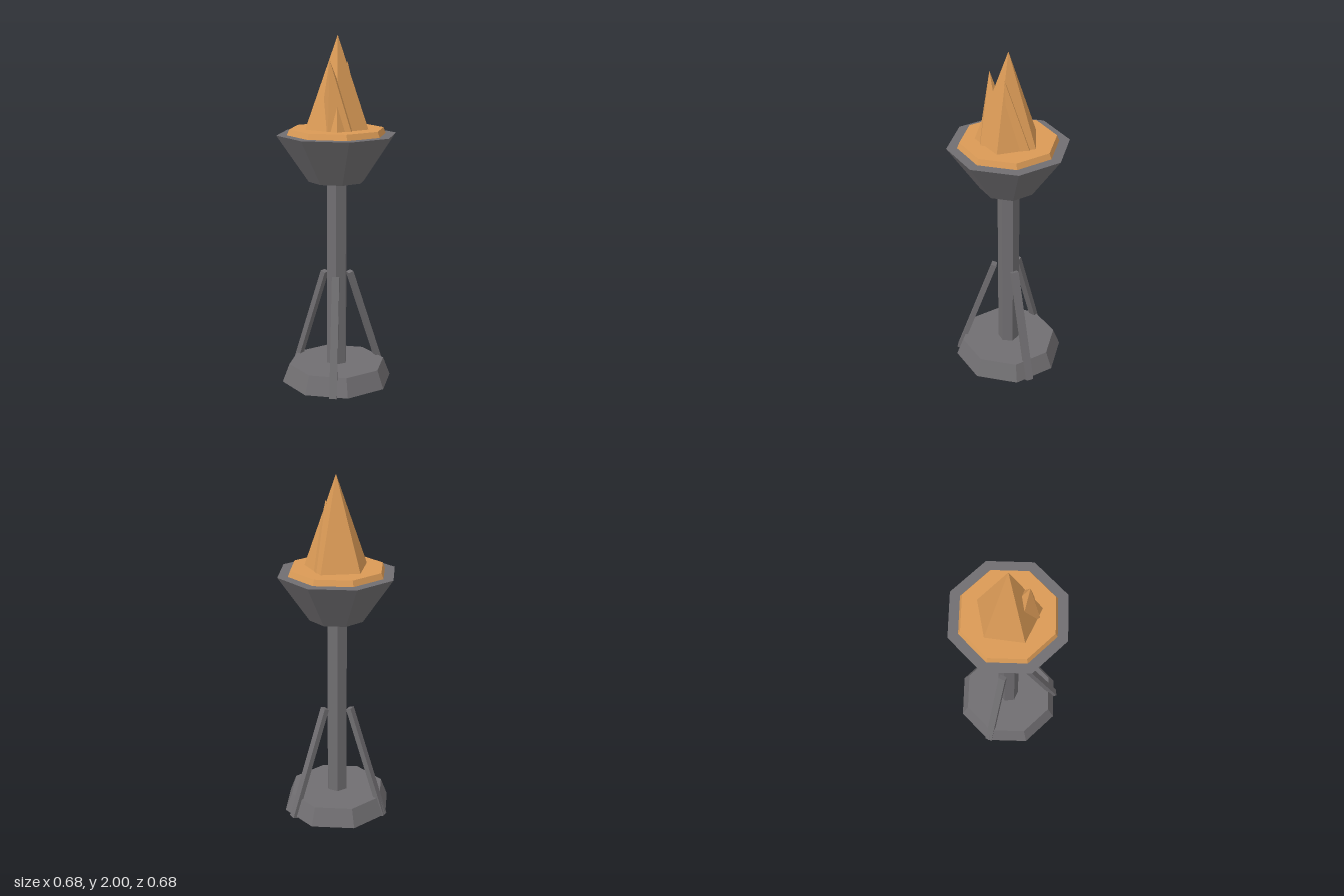
import * as THREE from 'three';

const iron = new THREE.MeshStandardMaterial({ color: 0x706e71, flatShading: true });
iron.name = 'dark iron';
const fire = new THREE.MeshStandardMaterial({ color: 0xda9a56, flatShading: true });
fire.name = 'fire orange';

function add(parent, name, geometry, material, y = 0) {
  const mesh = new THREE.Mesh(geometry, material);
  mesh.name = name;
  mesh.position.y = y;
  parent.add(mesh);
  return mesh;
}

// Faceted drum standing between two heights
function drum(parent, name, rTop, rBottom, y0, y1, sides, material) {
  return add(parent, name, new THREE.CylinderGeometry(rTop, rBottom, y1 - y0, sides), material, (y0 + y1) / 2);
}

// Five-sided spike with a leaning tip; angle is that of its first corner from +x towards +z
function spike([cx, cz], radius, angle, tip, y0) {
  const corners = [];
  for (let i = 0; i < 5; i++) {
    const a = angle + (i * Math.PI * 2) / 5;
    corners.push([cx + radius * Math.cos(a), y0, cz + radius * Math.sin(a)]);
  }
  const points = [];
  corners.forEach((p, i) => {
    const q = corners[(i + 1) % 5];
    points.push(...p, ...tip, ...q, ...p, ...q, cx, y0, cz);
  });
  const geometry = new THREE.BufferGeometry();
  geometry.setAttribute('position', new THREE.Float32BufferAttribute(points, 3));
  geometry.computeVertexNormals();
  return geometry;
}

export function createModel() {
  const model = new THREE.Group();
  model.name = 'brazier';

  // Stand
  drum(model, 'base', 0.28, 0.32, 0.012, 0.117, 8, iron);
  drum(model, 'pole', 0.062, 0.062, 0.1, 1.2, 6, iron).rotation.y = Math.PI / 6;
  drum(model, 'bowl', 0.34, 0.16, 1.19, 1.455, 8, iron);

  // Three braces leaning in towards the pole
  for (let i = 0; i < 3; i++) {
    const brace = new THREE.Group();
    brace.name = 'brace' + (i + 1);
    brace.rotation.y = Math.PI / 3 + (i * Math.PI * 2) / 3;
    const bar = add(brace, 'braceBar', new THREE.BoxGeometry(0.03, 0.682, 0.042), iron, 0.328);
    bar.position.x = 0.193;
    bar.rotation.z = 0.328;
    model.add(brace);
  }

  // Embers and flames
  drum(model, 'embers', 0.268, 0.283, 1.45, 1.487, 8, fire);
  const flames = new THREE.Group();
  flames.name = 'flames';
  const y = 1.48;
  add(flames, 'mainFlame', spike([0, 0], 0.186, -1.543, [0.005, 2, -0.003], y), fire);
  add(flames, 'frontFlame', spike([0.045, 0.051], 0.109, 0.269, [0.025, 1.87, 0.106], y), fire);
  add(flames, 'backFlame', spike([0.02, -0.072], 0.1, -1.37, [0.06, 1.858, -0.018], y), fire);
  model.add(flames);

  return model;
}
